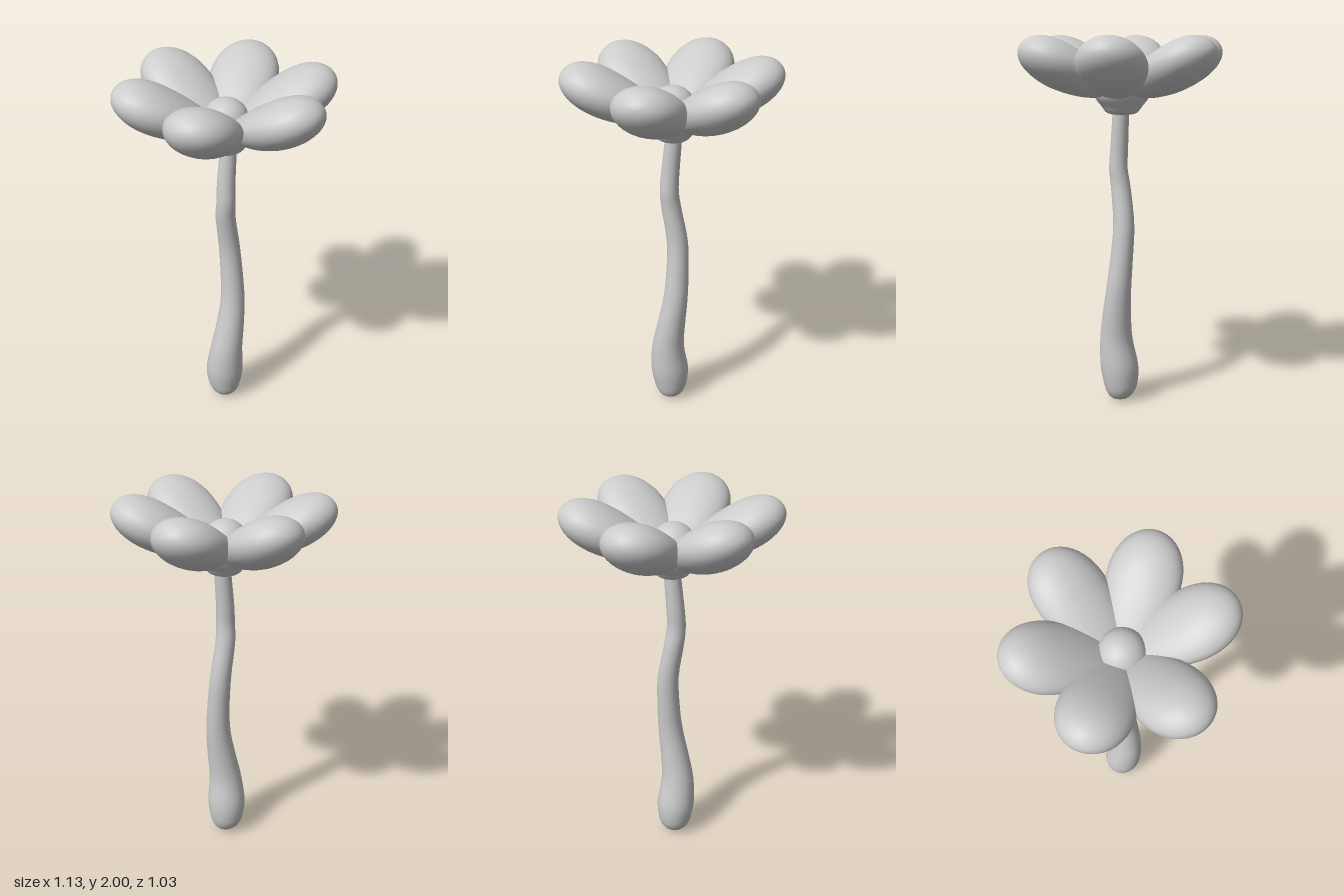
import * as THREE from 'three';
import { mergeVertices } from 'three/addons/utils/BufferGeometryUtils.js';

const material = new THREE.MeshStandardMaterial({ color: 0xcccccc });

function addMesh(parent, name, geometry) {
  const mesh = new THREE.Mesh(geometry, material);
  mesh.name = name;
  parent.add(mesh);
  return mesh;
}

// Weld seams so the normals are smooth all round
function smooth(geometry) {
  geometry.deleteAttribute('uv');
  geometry.deleteAttribute('normal');
  const welded = mergeVertices(geometry, 1e-5);
  welded.computeVertexNormals();
  return welded;
}

// Stem: a lathe whose rings are shifted along a wandering centre line
function stemGeometry() {
  // height, centre x, centre z, radius
  const rings = [
    [0, -0.01, 0.012, 0], [0.012, -0.01, 0.012, 0.047], [0.045, -0.012, 0.01, 0.077],
    [0.1, -0.014, 0.009, 0.095], [0.2, -0.014, 0.016, 0.105], [0.35, -0.008, 0.032, 0.09],
    [0.5, 0.014, 0.027, 0.078], [0.65, 0.032, 0.014, 0.068], [0.8, 0.033, 0, 0.062],
    [1.0, 0.021, -0.012, 0.057], [1.2, -0.006, 0.007, 0.053], [1.3, -0.008, 0.02, 0.05],
    [1.4, -0.006, 0.016, 0.048], [1.6, 0.008, 0.005, 0.044], [1.68, 0.008, 0.004, 0.043],
  ];
  const centre = new THREE.CatmullRomCurve3(
    rings.map(([y, x, z]) => new THREE.Vector3(x, y, z)), false, 'catmullrom', 0.5);
  const radius = new THREE.CatmullRomCurve3(
    rings.map(([y, , , r]) => new THREE.Vector3(r, y, 0)), false, 'catmullrom', 0.5);
  const steps = (rings.length - 1) * 4;
  const centres = centre.getPoints(steps);
  const profile = radius.getPoints(steps).map((p) => new THREE.Vector2(Math.max(p.x, 0), p.y));
  const geometry = new THREE.LatheGeometry(profile, 28);
  const pos = geometry.attributes.position;
  for (let i = 0; i < pos.count; i++) {
    const c = centres[i % (steps + 1)];
    pos.setX(i, pos.getX(i) + c.x);
    pos.setZ(i, pos.getZ(i) + c.z);
  }
  return smooth(geometry);
}

// Petal: an egg lying along +x, blunt outside, its upper side thinning to the middle
function petalGeometry() {
  const geometry = new THREE.SphereGeometry(1, 32, 24);
  geometry.rotateZ(-Math.PI / 2);
  const pos = geometry.attributes.position;
  for (let i = 0; i < pos.count; i++) {
    const t = pos.getX(i);
    const y = pos.getY(i);
    const thickness = y > 0 ? 0.103 + 0.05 * t : 0.129 + 0.005 * t;
    pos.setXYZ(i, t * (t < 0 ? 0.3 : 0.268), y * thickness, pos.getZ(i) * 0.178 * (1 + 0.13 * t));
  }
  return smooth(geometry);
}

export function createModel() {
  const flower = new THREE.Group();
  flower.name = 'flower';

  addMesh(flower, 'stem', stemGeometry());

  // Flared cup under the petals
  const cup = new THREE.SplineCurve([
    [0, 1.592], [0.055, 1.592], [0.085, 1.604], [0.108, 1.634], [0.145, 1.685], [0.14, 1.73], [0, 1.76],
  ].map(([r, y]) => new THREE.Vector2(r, y))).getPoints(30);
  cup.forEach((p) => { p.x = Math.max(p.x, 0); });
  addMesh(flower, 'cup', smooth(new THREE.LatheGeometry(cup, 28)));

  // Round centre
  const heart = addMesh(flower, 'centre', new THREE.SphereGeometry(0.12, 28, 20));
  heart.position.set(-0.004, 1.755, 0.002);

  // Six raised petals, turned from +x towards +z
  const petal = petalGeometry();
  [2, 58, 125, 184, 243, 302].forEach((degrees, i) => {
    const holder = new THREE.Group();
    holder.name = `petalHolder${i + 1}`;
    holder.rotation.y = -THREE.MathUtils.degToRad(degrees);
    const mesh = addMesh(holder, `petal${i + 1}`, petal);
    mesh.position.set(0.312, 1.842, 0);
    mesh.rotation.z = THREE.MathUtils.degToRad(21.5);
    flower.add(holder);
  });

  return flower;
}
